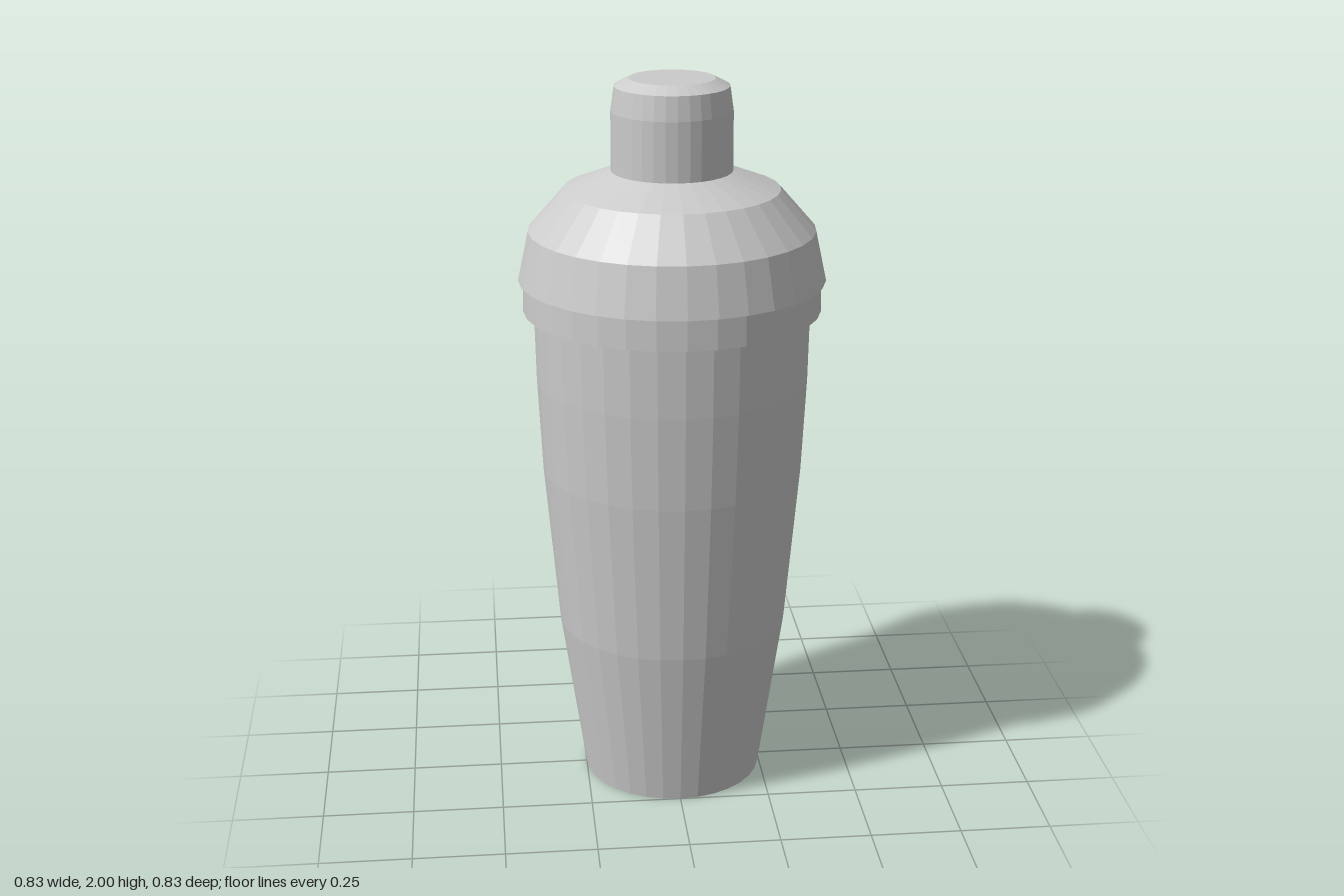
import * as THREE from 'three';

const SIDES = 32;

export function createModel() {
  const group = new THREE.Group();
  group.name = 'cocktailShaker';
  const material = new THREE.MeshStandardMaterial({ color: 0xcccccc, flatShading: true });

  // Revolves a [radius, height] profile, listed from bottom to top
  const turn = (name, profile) => {
    const points = profile.map(([r, y]) => new THREE.Vector2(r, y));
    const mesh = new THREE.Mesh(new THREE.LatheGeometry(points, SIDES), material);
    mesh.name = name;
    group.add(mesh);
  };

  // Tapered cup with a closed base
  turn('cup', [[0, 0], [0.25, 0], [0.318, 0.465], [0.358, 0.92], [0.371, 1.18], [0.375, 1.38]]);

  // Collar band around the mouth of the cup
  turn('collar', [[0.37, 1.375], [0.404, 1.375], [0.402, 1.46], [0.37, 1.46]]);

  // Domed strainer lid with a slight overhang
  turn('lid', [[0.38, 1.46], [0.416, 1.46], [0.387, 1.595], [0.291, 1.705], [0.155, 1.758]]);

  // Small cap with a bevelled top
  turn('cap', [[0.163, 1.75], [0.163, 1.915], [0.154, 1.98], [0.115, 2], [0, 2]]);

  return group;
}
